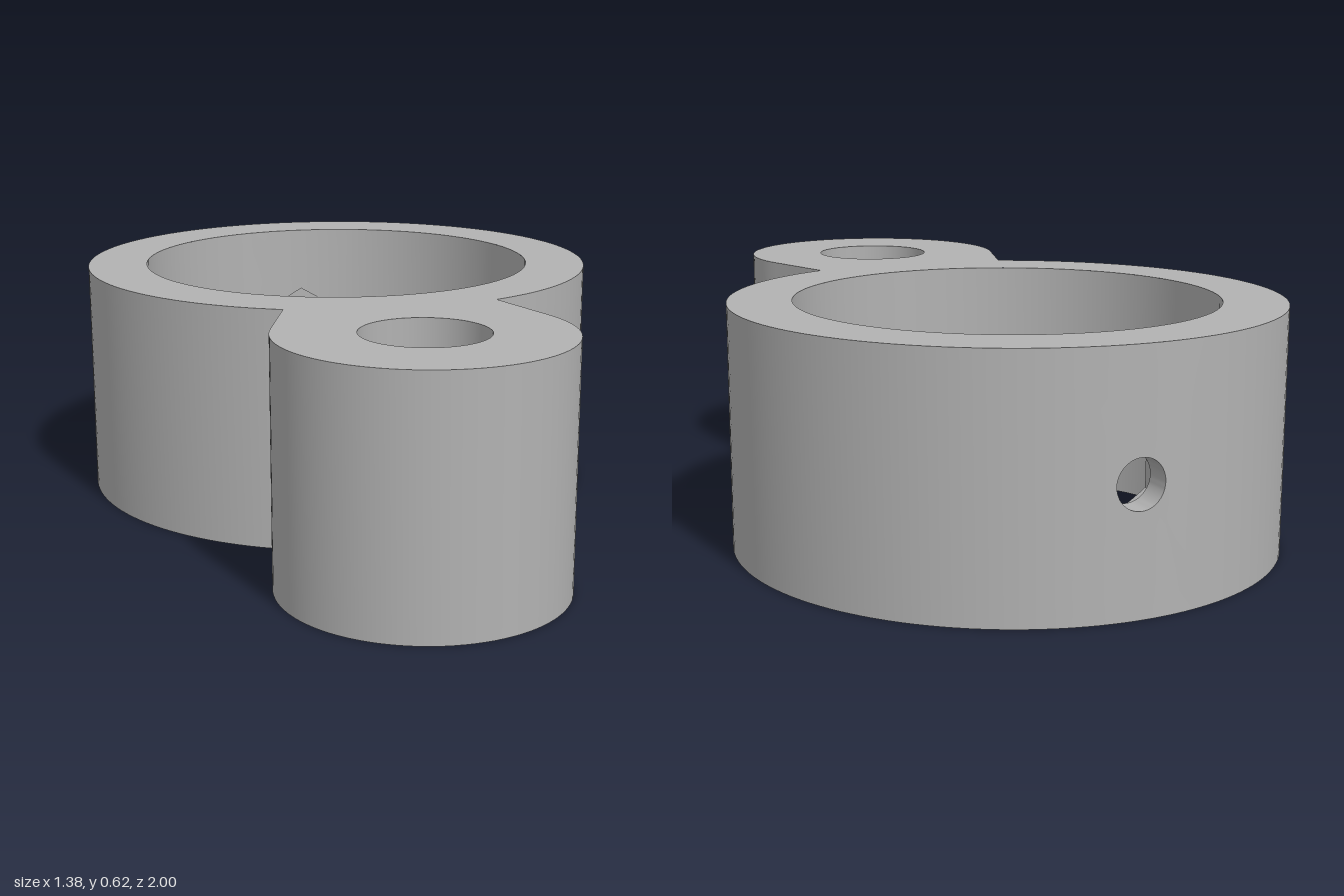
import * as THREE from 'three';
import { toCreasedNormals } from 'three/addons/utils/BufferGeometryUtils.js';

const H = 0.615;                                   // height
const RING = { z: -0.31, outer: 0.69, inner: 0.53 };
const LUG = { z: 0.64, outer: 0.355, inner: 0.155 };
const PANEL = 0.16;                                // half width of the back panel with the screw hole
const MID = H / 2, SCREW = 0.06, NUT = 0.123, FLOOR = -0.93;

// Points [x, z] on an arc; angle 0 points to the front, growing towards +x
function arc(z, r, from, to, n) {
  return Array.from({ length: n + 1 }, (_, i) => {
    const a = from + (to - from) * i / n;
    return [r * Math.sin(a), z + r * Math.cos(a)];
  });
}

// Surface through rows of equally many [x, y, z] points
function skin(rows) {
  const n = rows[0].length, index = [];
  for (let i = 0; i < rows.length - 1; i++) {
    for (let j = 0; j < n - 1; j++) {
      const a = i * n + j, b = a + 1, c = a + n, d = c + 1;
      index.push(a, b, c, b, d, c);
    }
  }
  const geo = new THREE.BufferGeometry();
  geo.setAttribute('position', new THREE.Float32BufferAttribute(rows.flat(2), 3));
  geo.setIndex(index);
  return toCreasedNormals(geo, 0.5);
}

// Upright wall along a path
const wall = (path) => skin([0, H].map((y) => path.map(([x, z]) => [x, y, z])));

// Flat face of the whole outline, up = 1 for the top and -1 for the bottom
function cap(outline, holes, up) {
  const flat = (path) => path.map(([x, z]) => new THREE.Vector2(x, -up * z));
  const shape = new THREE.Shape(flat(outline));
  shape.holes = holes.map((h) => new THREE.Path(flat(h)));
  const geo = new THREE.ShapeGeometry(shape);
  geo.rotateX(-up * Math.PI / 2);
  geo.translate(0, up > 0 ? H : 0, 0);
  return geo;
}

// Back panel: inner face, hexagonal nut pocket, screw hole and outer face in one skin
function backPanel() {
  const N = 48, STEPS = 5;
  const loop = (f) => Array.from({ length: N + 1 }, (_, i) => f(i * 2 * Math.PI / N));
  const circle = loop((t) => [SCREW * Math.cos(t), SCREW * Math.sin(t)]);
  const hex = loop((t) => {
    const s = Math.PI / 3, off = t - Math.round(t / s) * s;
    const r = NUT * Math.cos(Math.PI / 6) / Math.cos(off);
    return [r * Math.cos(t), r * Math.sin(t)];
  });
  const rect = loop((t) => {
    const c = Math.cos(t), s = Math.sin(t), m = Math.max(Math.abs(c), Math.abs(s));
    return [PANEL * c / m, MID * s / m];
  });
  const onCylinder = (pts, r) =>
    pts.map(([x, y]) => [x, MID + y, RING.z - Math.sqrt(r * r - x * x)]);
  const onFloor = (pts) => pts.map(([x, y]) => [x, MID + y, FLOOR]);
  const blend = (a, b, r) => Array.from({ length: STEPS + 1 }, (_, k) =>
    onCylinder(a.map((p, i) => p.map((v, c) => v + (b[i][c] - v) * k / STEPS)), r));
  return skin([
    ...blend(rect, hex, RING.inner),
    onFloor(hex),
    onFloor(circle),
    ...blend(circle, rect, RING.outer),
  ]);
}

export function createModel() {
  const group = new THREE.Group();
  const grey = new THREE.MeshStandardMaterial({ color: 0xb2b2b2 });
  grey.name = 'grey';
  const add = (name, geo) => {
    const mesh = new THREE.Mesh(geo, grey);
    mesh.name = name;
    group.add(mesh);
  };

  const PI = Math.PI;
  const p = Math.asin(PANEL / RING.outer);         // panel edge on the outside
  const q = Math.asin(PANEL / RING.inner);         // panel edge on the inside
  const neck = Math.asin(0.27 / RING.outer);       // where the lug meets the ring
  const tangent = PI / 2 + 0.33;                   // where the lug's straight flank begins

  const ringRight = arc(RING.z, RING.outer, -PI + p, -neck, 56);
  const lugOutside = arc(LUG.z, LUG.outer, -tangent, tangent, 56);
  const ringLeft = arc(RING.z, RING.outer, neck, PI - p, 56);
  const flankRight = [ringRight.at(-1), lugOutside[0]];
  const flankLeft = [lugOutside.at(-1), ringLeft[0]];
  const back = arc(RING.z, RING.outer, PI - p, PI + p, 12).slice(1, -1);

  // Outer walls
  add('ringOuterWallRight', wall(ringRight));
  add('lugOuterWall', wall([flankRight[0], ...lugOutside, flankLeft[1]]));
  add('ringOuterWallLeft', wall(ringLeft));

  // Bores
  add('ringBore', wall(arc(RING.z, RING.inner, PI - q, -PI + q, 110)));
  const lugHole = arc(LUG.z, LUG.inner, PI, -PI, 64);
  add('lugBore', wall(lugHole));

  // Screw hole and nut pocket
  add('screwPanel', backPanel());

  // Top and bottom faces
  const outline = [...ringRight, ...lugOutside, ...ringLeft, ...back];
  const holes = [arc(RING.z, RING.inner, PI, -PI, 120).slice(1), lugHole.slice(1)];
  add('topFace', cap(outline, holes, 1));
  add('bottomFace', cap(outline, holes, -1));
  return group;
}
